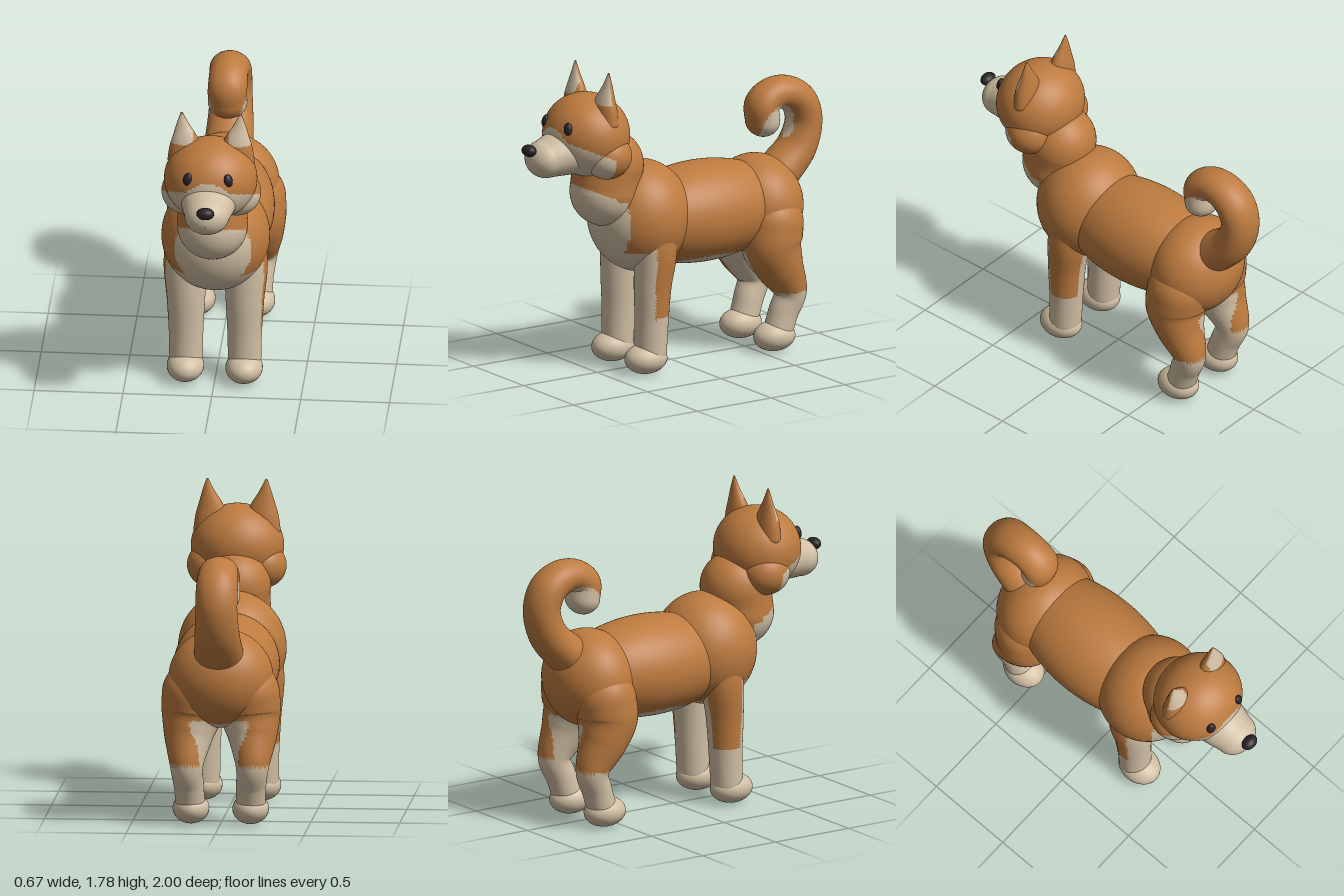
import * as THREE from 'three';

const mat = (name, color) => {
  const m = new THREE.MeshStandardMaterial({ color });
  m.name = name;
  return m;
};

// Ellipsoid with its centre and radii baked in
function blob(c, r, sides = 32) {
  return new THREE.SphereGeometry(1, sides, sides * 0.75).scale(...r).translate(...c);
}

// Rounded tube through [x, y, z, radius] points, widened sideways by kx
function limb(points, kx = 1, segs = 44, sides = 40) {
  const path = new THREE.CatmullRomCurve3(points.map(p => new THREE.Vector3(p[0], p[1], p[2])), false, 'catmullrom');
  const radius = new THREE.CatmullRomCurve3(points.map(p => new THREE.Vector3(p[3], 0, 0)), false, 'catmullrom');
  const rings = [];
  const caps = 10;
  for (let k = 0; k < caps; k++) rings.push([0, -Math.PI / 2 * (1 - k / caps) + 0.01]);
  for (let k = 0; k <= segs; k++) rings.push([k / segs, 0]);
  for (let k = 1; k <= caps; k++) rings.push([1, Math.PI / 2 * k / caps - 0.01]);
  const pos = [], idx = [];
  const X = new THREE.Vector3(1, 0, 0);
  rings.forEach(([t, cap], i) => {
    const T = path.getTangent(t);
    const U = T.clone().cross(X).normalize();
    const S = U.clone().cross(T).normalize();
    const r = radius.getPoint(t).x;
    const p = path.getPoint(t).addScaledVector(T, r * Math.sin(cap));
    for (let j = 0; j < sides; j++) {
      const a = j / sides * Math.PI * 2, q = r * Math.cos(cap);
      const v = p.clone().addScaledVector(S, Math.cos(a) * q * kx).addScaledVector(U, Math.sin(a) * q);
      pos.push(v.x, v.y, v.z);
      if (i < rings.length - 1) {
        const j2 = (j + 1) % sides, A = i * sides, B = A + sides;
        idx.push(A + j, A + j2, B + j, A + j2, B + j2, B + j);
      }
    }
  });
  const g = new THREE.BufferGeometry();
  g.setAttribute('position', new THREE.Float32BufferAttribute(pos, 3));
  g.setIndex(idx);
  g.computeVertexNormals();
  return g;
}

// Sort faces into two material groups: rule(x, y, z) true means second material
function split(g, rule) {
  const p = g.attributes.position, src = g.index.array, a = [], b = [];
  for (let i = 0; i < src.length; i += 3) {
    const f = [src[i], src[i + 1], src[i + 2]];
    const mid = get => (get(f[0]) + get(f[1]) + get(f[2])) / 3;
    const hit = rule(mid(n => p.getX(n)), mid(n => p.getY(n)), mid(n => p.getZ(n)));
    (hit ? b : a).push(...f);
  }
  g.setIndex(a.concat(b));
  g.clearGroups();
  g.addGroup(0, a.length, 0);
  g.addGroup(a.length, b.length, 1);
  return g;
}

export function createModel() {
  const dog = new THREE.Group();
  dog.name = 'dog';
  const coat = mat('orange coat', 0xbd7b3f);
  const cream = mat('cream fur', 0xd1bfa4);
  const dark = mat('dark nose and eyes', 0x2a2225);

  const add = (name, geometry, material) => {
    const m = new THREE.Mesh(geometry, material);
    m.name = name;
    dog.add(m);
    return m;
  };
  const addSplit = (name, geometry, rule) => add(name, split(geometry, rule), [coat, cream]);

  // Trunk
  addSplit('belly', blob([0, 0.837, -0.19], [0.297, 0.287, 0.56], 72),
    (x, y, z) => y < 0.625 - 0.5 * (z + 0.17) ** 2);
  addSplit('chest', blob([0, 0.875, 0.215], [0.305, 0.32, 0.29], 72),
    (x, y, z) => z > 0.42 || y < 0.6 || (z > 0.28 && y < 0.71));
  addSplit('rump', blob([0, 0.825, -0.58], [0.295, 0.28, 0.25], 72),
    (x, y, z) => y < 0.61 && Math.abs(x) < 0.18 && z > -0.7);
  addSplit('neck', limb([[0, 1.05, 0.447, 0.2], [0, 1.12, 0.44, 0.197], [0, 1.2, 0.425, 0.2]]),
    (x, y, z) => z > 0.42 && y < 1.01 + 0.45 * (z - 0.42));

  // Head with a pale mask, cheeks and muzzle
  const mask = (x, y, z) => z > 0.555 &&
    y < Math.max(1.3 + 0.44 * (z - 0.555), z > 0.62 ? 1.47 - 4.4 * x * x : 0);
  addSplit('head', blob([0, 1.4, 0.575], [0.262, 0.237, 0.24], 72), mask);
  add('muzzle', limb([[0, 1.335, 0.64, 0.15], [0, 1.315, 0.76, 0.128], [0, 1.297, 0.855, 0.108]], 1.17), cream);
  add('nose', blob([0, 1.36, 0.963], [0.05, 0.034, 0.037]), dark);

  for (const s of [1, -1]) {
    const side = s > 0 ? 'left' : 'right';
    addSplit(side + 'Cheek', blob([s * 0.145, 1.295, 0.53], [0.135, 0.13, 0.14], 64), mask);

    const eye = add(side + 'Eye', blob([0, 0, 0], [0.025, 0.036, 0.018]), dark);
    eye.position.set(s * 0.115, 1.482, 0.776);
    eye.rotation.set(-0.3, s * 0.45, s * 0.3);

    // Pointed ear, pale inside
    addSplit(side + 'Ear', limb([
      [s * 0.143, 1.5, 0.545, 0.064], [s * 0.147, 1.6, 0.545, 0.052],
      [s * 0.16, 1.7, 0.538, 0.025], [s * 0.166, 1.78, 0.535, 0.004],
    ], 1.6), (x, y, z) => y > 1.605 && z > 0.55 - (y - 1.6) * 0.05 && s * x > 0.1);

    // Front leg: coat colour only on the outer rear
    addSplit(side + 'FrontLeg', limb([
      [s * 0.165, 0.82, 0.21, 0.115], [s * 0.17, 0.68, 0.22, 0.118], [s * 0.166, 0.5, 0.237, 0.105],
      [s * 0.165, 0.3, 0.243, 0.094], [s * 0.165, 0.12, 0.25, 0.09],
    ], 1.04), (x, y, z) => y < 0.33 || z > 0.28 || (s * x < 0.18 && y < 0.72));
    add(side + 'FrontPaw', blob([s * 0.165, 0.086, 0.282], [0.105, 0.086, 0.128]), cream);

    // Hind leg: pale below the hock and on the inner side
    addSplit(side + 'HindLeg', limb([
      [s * 0.155, 0.74, -0.58, 0.18], [s * 0.165, 0.62, -0.57, 0.175], [s * 0.18, 0.5, -0.61, 0.142],
      [s * 0.185, 0.34, -0.683, 0.096], [s * 0.175, 0.22, -0.645, 0.086], [s * 0.17, 0.11, -0.61, 0.085],
    ], 0.98), (x, y, z) => y < 0.345 || (s * x < 0.165 && y < 0.6 && z > -0.74));
    add(side + 'HindPaw', blob([s * 0.168, 0.086, -0.587], [0.103, 0.086, 0.126]), cream);
  }

  // Curled tail, pale inside the curl
  addSplit('tail', limb([
    [0, 0.96, -0.7, 0.12], [0, 1.1, -0.845, 0.108], [0, 1.25, -0.9, 0.1], [0, 1.37, -0.868, 0.1],
    [0, 1.432, -0.785, 0.096], [0, 1.438, -0.69, 0.092], [0, 1.385, -0.618, 0.094], [0, 1.296, -0.622, 0.094],
  ], 1.18, 90), (x, y, z) => Math.hypot(z + 0.685, y - 1.265) < 0.122);

  return dog;
}
